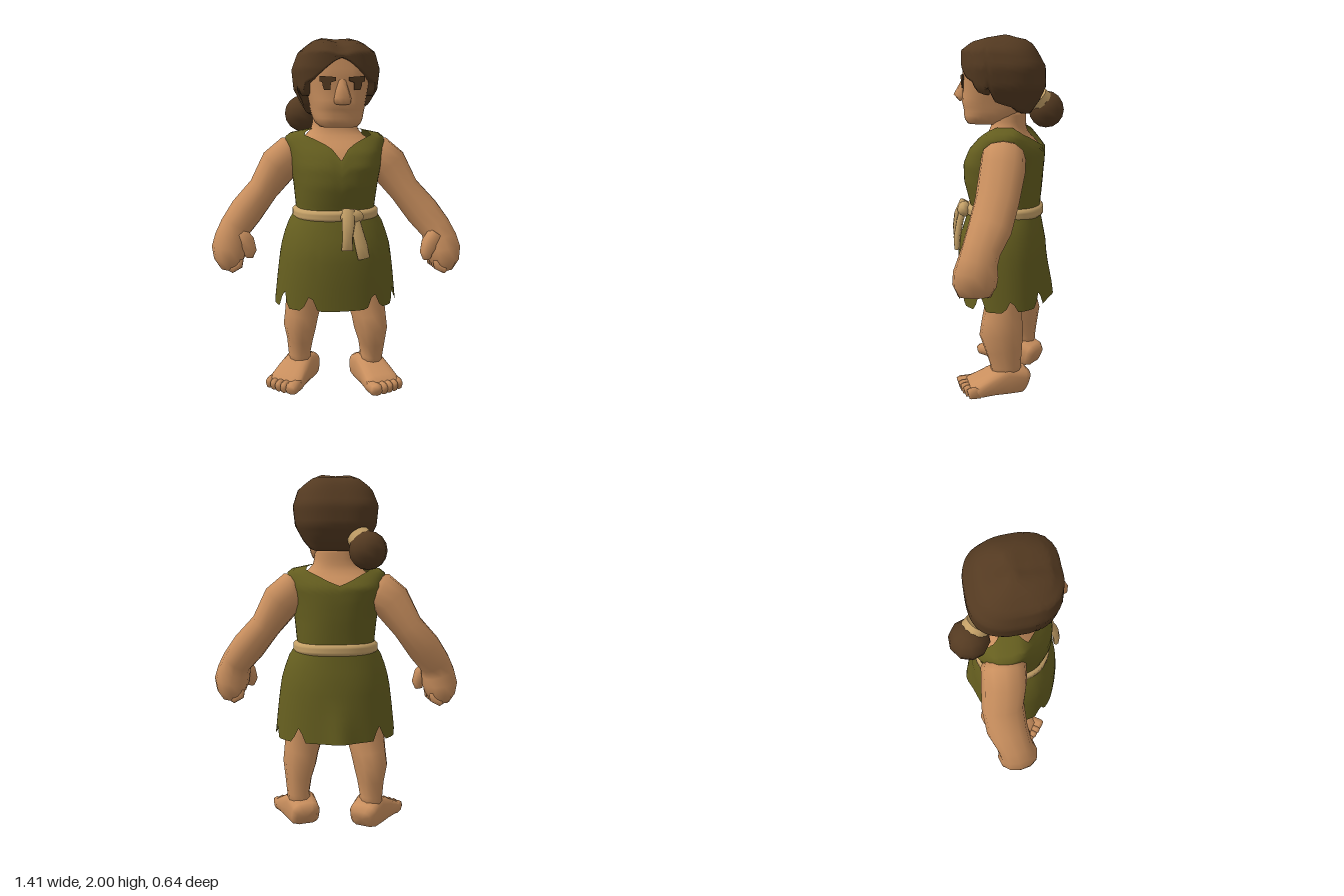
import * as THREE from 'three';

const mat = (name, color) => {
  const m = new THREE.MeshStandardMaterial({ color, side: THREE.DoubleSide });
  m.name = name;
  return m;
};
const V = (x, y, z) => new THREE.Vector3(x, y, z);

// Linear interpolation in a table of rows sorted by their first entry
function lookup(table, k) {
  if (k <= table[0][0]) return table[0];
  for (let i = 1; i < table.length; i++) {
    const a = table[i - 1], b = table[i];
    if (k <= b[0]) return a.map((v, j) => v + (b[j] - v) * (k - a[0]) / (b[0] - a[0]));
  }
  return table[table.length - 1];
}

// Rounded-box cross-section: sine and cosine raised to 2/n
const sq = (v, n) => Math.sign(v) * Math.pow(Math.abs(v), 2 / n);

// Skin a list of equal closed rings, with optional end caps
function loft(rings, capStart, capEnd) {
  const n = rings[0].length, pts = rings.flat(), idx = [];
  for (let i = 0; i < rings.length - 1; i++)
    for (let j = 0; j < n; j++) {
      const a = i * n + j, b = i * n + (j + 1) % n;
      idx.push(a, b, a + n, b, b + n, a + n);
    }
  const cap = (row, flip) => {
    const c = pts.length;
    const mid = V(0, 0, 0);
    rings[row].forEach(p => mid.addScaledVector(p, 1 / n));
    pts.push(mid);
    for (let j = 0; j < n; j++) {
      const a = row * n + j, b = row * n + (j + 1) % n;
      flip ? idx.push(b, a, c) : idx.push(a, b, c);
    }
  };
  if (capStart) cap(0, true);
  if (capEnd) cap(rings.length - 1, false);
  const g = new THREE.BufferGeometry().setFromPoints(pts);
  g.setIndex(idx);
  g.computeVertexNormals();
  return g;
}

// Upright shell: profile rows are [y, halfWidth, zFront, zBack]; lo and hi give the edges by angle
function shell(profile, { lo, hi, rows = 10, segs = 32, n = 2.3, caps = [false, false], warp, lip }) {
  const rings = [];
  for (let i = lip ? -1 : 0; i <= rows; i++) {
    const ring = [];
    for (let j = 0; j < segs; j++) {
      const a = j / segs * Math.PI * 2, side = a > Math.PI ? Math.PI * 2 - a : a;
      const y0 = lo ? lo(side) : profile[0][0], y1 = hi ? hi(side) : profile[profile.length - 1][0];
      const y = y0 + (y1 - y0) * Math.max(i, 0) / rows;
      const [, rx, zf, zb] = lookup(profile, y);
      const s = i < 0 ? lip : 1;
      const p = V(rx * s * sq(Math.sin(a), n), y, (zf + zb) / 2 + (zf - zb) / 2 * s * sq(Math.cos(a), n));
      if (warp) warp(p);
      ring.push(p);
    }
    rings.push(ring);
  }
  return loft(rings, caps[0], caps[1]);
}

// Tapered limb through [x, y, z, radiusAcross, radiusTowardRef]
function limb(path, { segs = 12, n = 2.2, ref = V(0, 0, 1), floor = false } = {}) {
  const c = path.map(p => V(p[0], p[1], p[2]));
  const rings = path.map((p, i) => {
    const t = c[Math.min(i + 1, c.length - 1)].clone().sub(c[Math.max(i - 1, 0)]).normalize();
    const v = ref.clone().addScaledVector(t, -t.dot(ref)).normalize();
    const u = t.clone().cross(v);
    return Array.from({ length: segs }, (_, j) => {
      const a = j / segs * Math.PI * 2;
      const q = c[i].clone().addScaledVector(u, p[3] * sq(Math.sin(a), n)).addScaledVector(v, p[4] * sq(Math.cos(a), n));
      if (floor) q.y = Math.max(q.y, 0);
      return q;
    });
  });
  return loft(rings, true, true);
}

export function createModel() {
  const skin = mat('skin', 0xc98f5e), hair = mat('hair', 0x543a21);
  const cloth = mat('oliveCloth', 0x655e1f), rope = mat('ropeTan', 0xc4a067);
  const model = new THREE.Group();
  model.name = 'villager';
  const add = (name, geo, m, parent = model) => {
    const mesh = new THREE.Mesh(geo, m);
    mesh.name = name;
    parent.add(mesh);
    return mesh;
  };
  const { smoothstep } = THREE.MathUtils;

  // Torso twist: the model's right shoulder sits further back
  const twist = p => { p.z += (0.15 * p.x - 0.01) * smoothstep(p.y, 1.05, 1.45); };

  // Body and neck
  add('bodyAndNeck', shell([[0.69, 0.11, 0.09, -0.12], [0.77, 0.2, 0.16, -0.15], [1.0, 0.205, 0.18, -0.15],
    [1.2, 0.215, 0.225, -0.17], [1.3, 0.232, 0.232, -0.182], [1.38, 0.24, 0.198, -0.182], [1.44, 0.21, 0.14, -0.12],
    [1.475, 0.15, 0.11, -0.095], [1.51, 0.125, 0.1, -0.09], [1.6, 0.115, 0.095, -0.09]],
  { rows: 28, caps: [true, true], warp: twist }), skin);

  // Tunic bodice with a slit neckline and broad straps
  const neckline = [[0, 1.34], [0.12, 1.405], [0.28, 1.435], [0.5, 1.46], [0.85, 1.49], [1.2, 1.505], [1.9, 1.505], [2.4, 1.485],
    [2.75, 1.45], [3.15, 1.39]];
  add('tunicBodice', shell([[1.0, 0.222, 0.21, -0.18], [1.06, 0.222, 0.215, -0.185], [1.2, 0.235, 0.25, -0.195],
    [1.3, 0.25, 0.252, -0.2], [1.38, 0.264, 0.218, -0.2], [1.44, 0.276, 0.165, -0.15], [1.475, 0.27, 0.135, -0.118],
    [1.49, 0.215, 0.122, -0.108], [1.505, 0.135, 0.11, -0.1]],
  { hi: a => lookup(neckline, a)[1], rows: 22, segs: 56, n: 2.4, warp: twist }), cloth);

  // Skirt with a torn hem and a pointed tail at the back
  const tears = [[0.52, 0.1], [1.12, 0.11], [1.75, 0.07], [2.45, 0.09]];
  const hem = a => 0.515 + Math.max(0, ...tears.map(([at, d]) => d * (1 - Math.abs(a - at) / 0.14)));
  add('skirt', shell([[0.51, 0.352, 0.292, -0.238], [0.7, 0.332, 0.292, -0.228], [0.84, 0.314, 0.285, -0.22],
    [0.97, 0.276, 0.245, -0.195], [1.05, 0.225, 0.215, -0.18]], { lo: hem, rows: 8, segs: 80, n: 2.15,
    warp: p => { if (p.z < 0) p.z -= 0.03 * Math.exp(-((p.x / 0.07) ** 2)) * (1 - smoothstep(p.y, 0.5, 0.8)); } }), cloth);

  // Rope belt, knot and hanging ends
  const belt = new THREE.Group();
  belt.name = 'belt';
  model.add(belt);
  add('beltBand', shell([[0.995, 0.22, 0.21, -0.18], [1.012, 0.243, 0.238, -0.203], [1.055, 0.243, 0.238, -0.203],
    [1.07, 0.22, 0.21, -0.18]], { rows: 8, segs: 40 }), rope, belt);
  const knot = add('beltKnot', new THREE.SphereGeometry(0.05, 10, 8), rope, belt);
  knot.position.set(0.055, 1.035, 0.25);
  knot.scale.set(1.3, 0.9, 0.75);
  add('beltEndLong', limb([[0.06, 1.05, 0.25, 0.03, 0.02], [0.08, 0.97, 0.272, 0.03, 0.02], [0.1, 0.88, 0.288, 0.035, 0.02],
    [0.115, 0.81, 0.288, 0.033, 0.015]], { segs: 8, n: 3 }), rope, belt);
  add('beltEndShort', limb([[0.035, 1.075, 0.25, 0.036, 0.025], [0.028, 1.0, 0.285, 0.036, 0.024], [0.022, 0.93, 0.298, 0.028, 0.02],
    [0.02, 0.86, 0.298, 0.032, 0.016]], { segs: 8, n: 3 }), rope, belt);

  // Arms and loosely closed hands; depths differ because of the twist
  const armPath = [[0.19, 1.36, 0.09, 0.09], [0.24, 1.35, 0.115, 0.12], [0.31, 1.295, 0.112, 0.122], [0.4, 1.155, 0.088, 0.116],
    [0.5, 1.03, 0.097, 0.114], [0.568, 0.94, 0.09, 0.1], [0.59, 0.88, 0.097, 0.102], [0.604, 0.82, 0.102, 0.115],
    [0.608, 0.76, 0.086, 0.112], [0.608, 0.71, 0.052, 0.085]];
  const arms = [['left', 1, [0.02, 0.02, 0.025, 0.05, 0.085, 0.125, 0.143, 0.153, 0.16, 0.16]],
    ['right', -1, [-0.06, -0.065, -0.075, -0.1, -0.095, -0.07, -0.06, -0.053, -0.05, -0.05]]];
  for (const [side, s, depth] of arms) {
    const arm = new THREE.Group();
    arm.name = side + 'Arm';
    model.add(arm);
    add('armAndPalm', limb(armPath.map(([x, y, a, b], i) => [s * x, y, depth[i], a, b])), skin, arm);
    const hz = depth[8];
    for (let k = 0; k < 4; k++) {
      const z = hz + 0.066 - k * 0.044;
      add('finger' + k, limb([[s * 0.615, 0.74, z, 0.03, 0.024], [s * 0.59, 0.715, z, 0.026, 0.026],
        [s * 0.555, 0.735, z, 0.024, 0.024], [s * 0.545, 0.77, z, 0.018, 0.018]], { segs: 8 }), skin, arm);
    }
    add('thumb', limb([[s * 0.55, 0.91, hz + 0.03, 0.05, 0.05], [s * 0.51, 0.86, hz + 0.045, 0.05, 0.045],
      [s * 0.49, 0.81, hz + 0.055, 0.038, 0.037], [s * 0.495, 0.775, hz + 0.055, 0.022, 0.022]], { segs: 8 }), skin, arm);
  }

  // Legs and bare feet in a staggered stance
  const legPath = [[0.76, 0.1, 0.11], [0.52, 0.112, 0.1], [0.42, 0.102, 0.115], [0.34, 0.098, 0.125], [0.25, 0.078, 0.105],
    [0.16, 0.066, 0.088], [0.07, 0.075, 0.085]];
  const legs = [['left', 1, [0.15, 0.18, 0.2, 0.211, 0.22, 0.222, 0.208], [0, 0.025, 0.03, 0.035, 0.02, 0.01, 0.005], 0.24],
    ['right', -1, [0.14, 0.168, 0.185, 0.197, 0.197, 0.2, 0.195], [-0.02, -0.05, -0.06, -0.07, -0.075, -0.08, -0.08], 0.6]];
  for (const [side, s, xs, zs, turn] of legs) {
    add(side + 'Leg', limb(legPath.map(([y, a, b], i) => [s * xs[i], y, zs[i], a, b])), skin);
    const foot = new THREE.Group();
    foot.name = side + 'Foot';
    foot.position.set(s * xs[6], 0, zs[6]);
    foot.rotation.y = s * turn;
    model.add(foot);
    add('sole', limb([[0, 0.045, -0.115, 0.06, 0.055], [0, 0.055, -0.09, 0.085, 0.075], [0, 0.07, 0, 0.092, 0.095],
      [0, 0.055, 0.09, 0.1, 0.07], [0, 0.037, 0.17, 0.108, 0.048], [0, 0.03, 0.22, 0.102, 0.038]],
    { segs: 20, n: 3, ref: V(0, 1, 0), floor: true }), skin, foot);
    for (let k = 0; k < 5; k++) {
      const x = s * (-0.073 + k * 0.037 + (k ? 0.01 : 0)), r = k ? 0.021 : 0.034, end = 0.272 - k * k * 0.002;
      add('toe' + k, limb([[x, 0.033, 0.17, r, 0.036], [x, 0.032, end - 0.015, r, 0.034], [x, 0.028, end, r * 0.85, 0.028]],
        { segs: 8, n: 3, ref: V(0, 1, 0), floor: true }), skin, foot);
    }
  }

  // Head, broad nose, and brows with eyes
  const head = new THREE.Group();
  head.name = 'head';
  model.add(head);
  add('face', shell([[1.52, 0.1, 0.225, 0.03], [1.55, 0.13, 0.245, -0.04], [1.6, 0.142, 0.245, -0.09], [1.635, 0.148, 0.256, -0.1],
    [1.7, 0.162, 0.25, -0.12], [1.8, 0.178, 0.25, -0.12], [1.9, 0.175, 0.235, -0.1]], { rows: 16, n: 2.8, caps: [true, true] }), skin, head);
  add('nose', limb([[0, 1.78, 0.235, 0.022, 0.012], [0, 1.74, 0.243, 0.03, 0.022], [0, 1.675, 0.26, 0.046, 0.044],
    [0, 1.65, 0.248, 0.046, 0.024]], { segs: 8 }), skin, head);
  const browPts = [[-0.042, 0.01], [-0.042, 0.03], [0.044, 0.036], [0.044, 0.008], [0.03, 0.004], [0.026, -0.02],
    [0.018, -0.038], [-0.014, -0.038], [-0.016, 0.002]];
  for (const s of [-1, 1]) {
    const shape = new THREE.Shape(browPts.map(([x, y]) => new THREE.Vector2(s * x, y)));
    const brow = add(s > 0 ? 'leftBrowAndEye' : 'rightBrowAndEye', new THREE.ExtrudeGeometry(shape, { depth: 0.008, bevelEnabled: false }), hair, head);
    brow.position.set(s * 0.077, 1.755, 0.244);
    brow.rotation.y = s * 0.19;
  }

  // Hair cap, parted over the forehead, with sideburns and a low nape
  const hairline = [[0, 1.885], [0.12, 1.865], [0.35, 1.815], [0.6, 1.775], [0.85, 1.755], [0.98, 1.7], [1.18, 1.685], [1.29, 1.745],
    [1.36, 1.65], [1.9, 1.592], [2.3, 1.58]];
  add('hairCap', shell([[1.58, 0.15, 0.12, -0.13], [1.65, 0.19, 0.2, -0.178], [1.72, 0.228, 0.245, -0.21], [1.83, 0.24, 0.257, -0.21],
    [1.92, 0.208, 0.257, -0.16], [1.965, 0.152, 0.2, -0.125], [1.99, 0.115, 0.11, -0.07], [2.0, 0.08, 0.05, -0.02]],
  { lo: a => lookup(hairline, a)[1], rows: 18, segs: 96, n: 2.7, caps: [false, true], lip: 0.74,
    warp: p => { if (p.y > 1.9) p.y -= 0.02 * Math.exp(-((p.x / 0.05) ** 2)) * smoothstep(p.z, -0.12, 0); } }), hair, head);

  // Low side bun with its tie
  const bun = add('hairBun', new THREE.SphereGeometry(0.106, 10, 8), hair, head);
  bun.position.set(-0.152, 1.583, -0.22);
  const tie = add('hairTie', new THREE.CylinderGeometry(0.066, 0.076, 0.064, 14), rope, head);
  tie.position.set(-0.118, 1.641, -0.179);
  tie.quaternion.setFromUnitVectors(V(0, 1, 0), V(0.4, 0.7, 0.55).normalize());

  return model;
}
